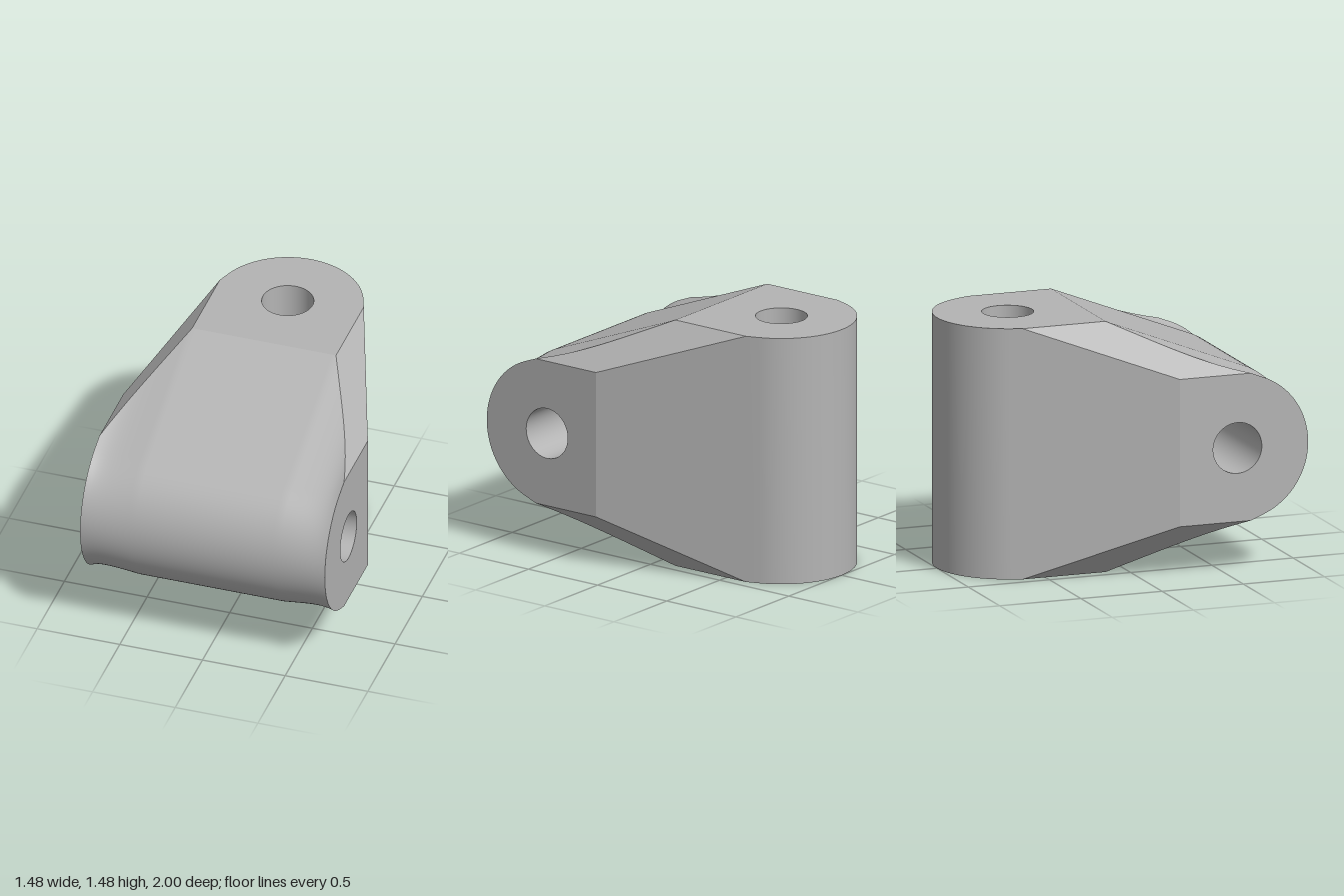
import * as THREE from 'three';
import { toCreasedNormals } from 'three/addons/utils/BufferGeometryUtils.js';

const H = 0.74;      // half width and half height
const R = 0.435;     // radius of both rounded ends
const C = 0.565;     // distance of both bores from the centre
const BORE = 0.15;
const SLOPE_Z = -0.13, TAPER_Z = 0.21; // where the flats start to taper

// Angle of the tangent from a corner (d behind the round end's centre, H aside)
const tangent = (d) => Math.atan2(H, -d) - Math.acos(R / Math.hypot(d, H));
const phiSide = tangent(C - SLOPE_Z);
const phiTop = tangent(C + TAPER_Z);

// Back surface: rounded in the middle, tapering out to the sides
function backZ(x) {
  const a = Math.abs(x);
  return a <= R * Math.sin(phiTop)
    ? -C - Math.sqrt(R * R - a * a)
    : TAPER_Z - (H - a) * Math.tan(phiTop);
}

// Upper half of a section at x, from the back to the front: [z, height]
function halfSection(x) {
  const a = Math.abs(x), u = Math.max(0, (a - R) / (H - R));
  const top = Math.min(H, H + R - a);              // corner chamfer
  const dip = 0.04 * u * (1 - u ** 4);             // shallow hollow beside the ears
  const pts = [[backZ(x), top]];
  pts.push([SLOPE_Z + (H - top) * Math.tan(phiSide) - dip / Math.cos(phiSide), top]);
  for (let k = 0; k <= 20; k++) {
    const t = phiSide * (1 - k / 20);
    const r = R - dip * (Math.sin(t) / Math.sin(phiSide)) ** 2;
    pts.push([C + r * Math.cos(t), r * Math.sin(t)]);
  }
  return pts;
}

function ring(x) {
  const up = halfSection(x);
  const down = up.slice(0, -1).reverse().map(([z, y]) => [z, -y]);
  return [...up, ...down];
}

// Stations across the width
function stations() {
  const half = [];
  for (let k = 1; k <= 20; k++) half.push(R * Math.sin(phiTop * k / 20));
  for (let k = 0; k <= 12; k++) half.push(R + (H - R) * k / 12);
  return [...half.map((x) => -x).reverse(), 0, ...half];
}

function shellGeometry(xs) {
  const pos = [], index = [];
  const n = ring(0).length;
  xs.forEach((x) => ring(x).forEach(([z, y]) => pos.push(x, y + H, z)));
  for (let i = 0; i < xs.length - 1; i++) {
    const middle = Math.abs(xs[i] + xs[i + 1]) / 2 < R;
    for (let j = 0; j < n; j++) {
      // the flat top and bottom are separate pierced plates
      if (middle && (j === 0 || j === n - 2)) continue;
      const k = (j + 1) % n;
      const a = i * n + j, b = i * n + k, c = (i + 1) * n + k, d = (i + 1) * n + j;
      index.push(a, b, c, a, c, d);
    }
  }
  const g = new THREE.BufferGeometry();
  g.setAttribute('position', new THREE.Float32BufferAttribute(pos, 3));
  g.setIndex(index);
  return toCreasedNormals(g, 0.3);
}

// Flat plate with a round hole
function pierced(points, cx, cy) {
  const shape = new THREE.Shape(points.map(([x, y]) => new THREE.Vector2(x, y)));
  shape.holes.push(new THREE.Path().absarc(cx, cy, BORE, 0, Math.PI * 2, true));
  return new THREE.ShapeGeometry(shape, 32);
}

export function createModel() {
  const model = new THREE.Group();
  model.name = 'swivelBlock';
  const grey = new THREE.MeshStandardMaterial({ color: 0xb4b4b4, side: THREE.DoubleSide });
  grey.name = 'grey';
  const add = (name, geometry) => {
    const mesh = new THREE.Mesh(geometry, grey);
    mesh.name = name;
    model.add(mesh);
    return mesh;
  };

  const xs = stations();
  add('body', shellGeometry(xs));

  // Top and bottom plates
  const outline = xs.filter((x) => Math.abs(x) <= R + 1e-6).map((x) => [x, -backZ(x)]);
  outline.push([R, -SLOPE_Z], [-R, -SLOPE_Z]);
  const topPlate = add('topPlate', pierced(outline, 0, C));
  topPlate.rotation.x = -Math.PI / 2;
  topPlate.position.y = 2 * H;
  const flipped = outline.map(([x, y]) => [x, -y]);
  const bottomPlate = add('bottomPlate', pierced(flipped, 0, -C));
  bottomPlate.rotation.x = Math.PI / 2;

  // Ear faces on both sides
  for (const s of [1, -1]) {
    const ear = add(s > 0 ? 'leftEarFace' : 'rightEarFace',
      pierced(ring(H).map(([z, y]) => [-s * z, y]), -s * C, 0));
    ear.rotation.y = s * Math.PI / 2;
    ear.position.set(s * H, H, 0);
  }

  // Bores, facing inward
  const boreGeometry = new THREE.LatheGeometry(
    [new THREE.Vector2(BORE, H), new THREE.Vector2(BORE, -H)], 64);
  add('verticalBore', boreGeometry).position.set(0, H, -C);
  const cross = add('crossBore', boreGeometry);
  cross.rotation.z = Math.PI / 2;
  cross.position.set(0, H, C);

  return model;
}
